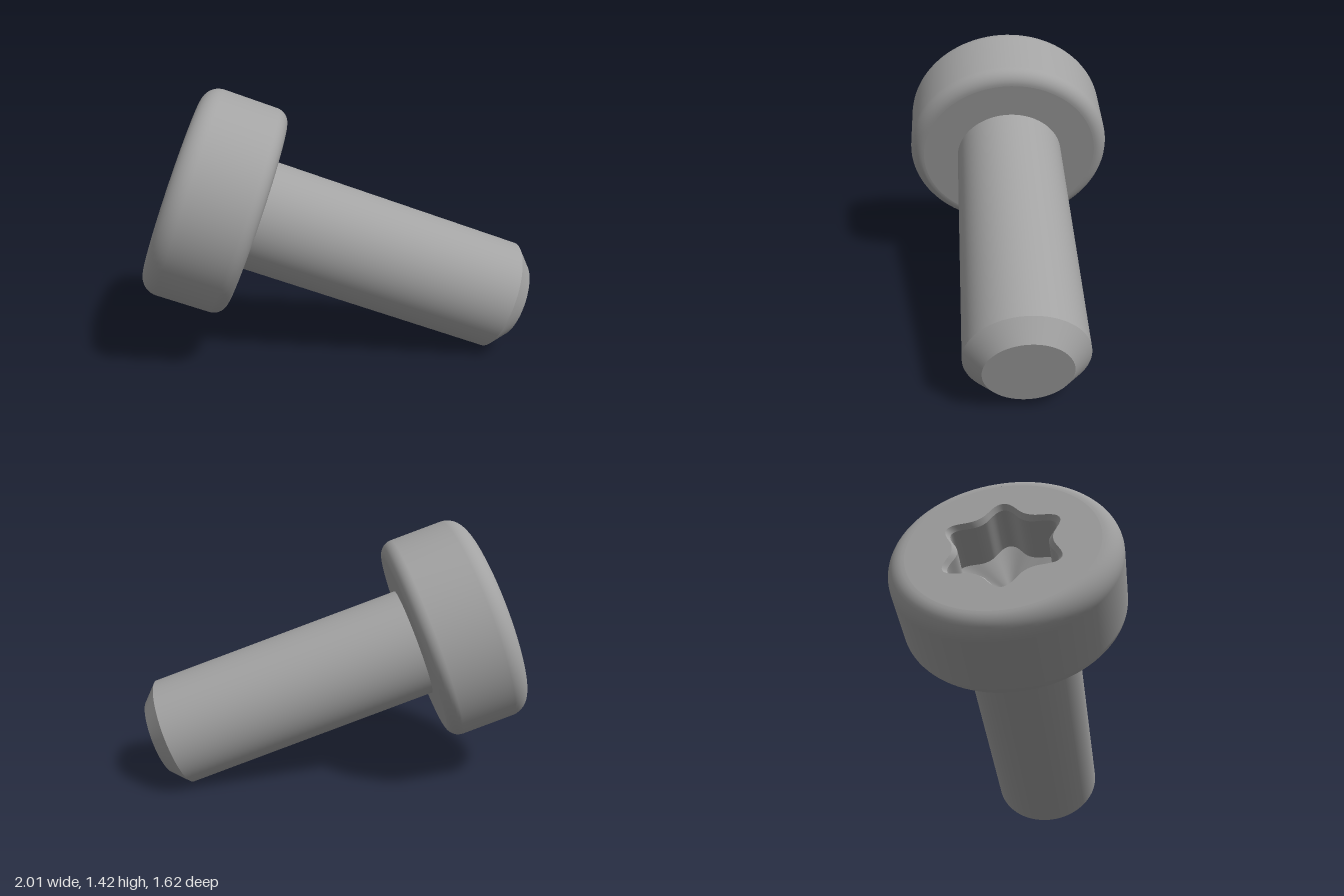
import * as THREE from 'three';

const TAU = Math.PI * 2;
const HEAD_R = 0.57, HEAD_H = 0.465, SHAFT_R = 0.3, SHAFT_L = 1.5, TIP_R = 0.212;
const TOP_FILLET = 0.1, BASE_FILLET = 0.075;

// Six-lobed socket outline, shrunk inwards by inset
const lobe = (a, inset = 0) => {
  const t = 6 * (a - Math.PI / 2 - 0.05);
  return 0.274 + 0.038 * Math.cos(t) + 0.005 * Math.cos(2 * t) - inset;
};

// Band of faces between two rings, facing into the socket; each ring is angle -> radius, at a height
function band(r0, y0, r1, y1, n = 144) {
  const pos = [], index = [];
  for (let i = 0; i < n; i++) {
    const a = (i / n) * TAU, j = (i + 1) % n;
    for (const [r, y] of [[r0(a), y0], [r1(a), y1]]) pos.push(r * Math.cos(a), y, -r * Math.sin(a));
    index.push(2 * i, 2 * j, 2 * i + 1, 2 * j, 2 * j + 1, 2 * i + 1);
  }
  const g = new THREE.BufferGeometry();
  g.setAttribute('position', new THREE.Float32BufferAttribute(pos, 3));
  g.setIndex(index);
  g.computeVertexNormals();
  return g;
}

const lathe = (points) => new THREE.LatheGeometry(points.map(([r, y]) => new THREE.Vector2(r, y)), 96);

// Quarter-circle profile points
function fillet(cx, cy, r, from, steps = 10) {
  return Array.from({ length: steps + 1 }, (_, i) => {
    const a = from + (i / steps) * Math.PI / 2;
    return [cx + r * Math.cos(a), cy + r * Math.sin(a)];
  });
}

export function createModel() {
  const steel = new THREE.MeshStandardMaterial({ color: 0xa3a3a3 });
  steel.name = 'steel grey';
  const model = new THREE.Group();
  model.name = 'screw';
  const body = new THREE.Group();
  body.name = 'screwBody';
  model.add(body);
  const add = (name, geometry) => {
    const mesh = new THREE.Mesh(geometry, steel);
    mesh.name = name;
    body.add(mesh);
  };

  // Shaft with chamfered flat tip; the head's underside sits at y = 0
  const chamferY = -SHAFT_L + (SHAFT_R - TIP_R);
  add('tipFace', lathe([[0, -SHAFT_L], [TIP_R, -SHAFT_L]]));
  add('tipChamfer', lathe([[TIP_R, -SHAFT_L], [SHAFT_R, chamferY]]));
  add('shaft', lathe([[SHAFT_R, chamferY], [SHAFT_R, 0]]));

  // Head: flat underside, rounded rims and straight side
  const baseFlat = HEAD_R - BASE_FILLET, topFlat = HEAD_R - TOP_FILLET;
  add('headUnderside', lathe([[SHAFT_R, 0], [baseFlat, 0]]));
  add('headSide', lathe([
    ...fillet(baseFlat, BASE_FILLET, BASE_FILLET, -Math.PI / 2),
    ...fillet(topFlat, HEAD_H - TOP_FILLET, TOP_FILLET, 0),
  ]));

  // Head top face with the socket opening cut out
  const ring = (radius) => Array.from({ length: 144 }, (_, i) => {
    const a = (i / 144) * TAU;
    return new THREE.Vector2(radius(a) * Math.cos(a), radius(a) * Math.sin(a));
  });
  const face = new THREE.Shape(ring(() => topFlat));
  face.holes.push(new THREE.Path(ring((a) => lobe(a))));
  add('headTop', new THREE.ShapeGeometry(face).rotateX(-Math.PI / 2).translate(0, HEAD_H, 0));

  // Socket: bevelled rim, straight walls and shallow conical floor
  const inner = (a) => lobe(a, 0.022);
  add('socketRim', band((a) => lobe(a), HEAD_H, inner, HEAD_H - 0.025));
  add('socketWall', band(inner, HEAD_H - 0.025, inner, HEAD_H - 0.25));
  add('socketFloor', band(inner, HEAD_H - 0.25, () => 0, HEAD_H - 0.32));

  // Tilt: the shaft points right, down and forward
  const axis = new THREE.Vector3(0.813, -0.3375, 0.474).normalize();
  const side = new THREE.Vector3().crossVectors(axis, new THREE.Vector3(0, 1, 0)).normalize();
  const up = new THREE.Vector3().crossVectors(side, axis);
  // side is flipped so that the basis is right-handed with y along the head
  const x = side.clone().negate();
  const y = axis.clone().negate();
  const z = new THREE.Vector3().crossVectors(x, y);
  if (z.dot(up) > 0) { x.negate(); z.negate(); }
  body.quaternion.setFromRotationMatrix(new THREE.Matrix4().makeBasis(x, y, z));
  body.position.set(-0.3425, 0.758, -0.123);
  return model;
}
